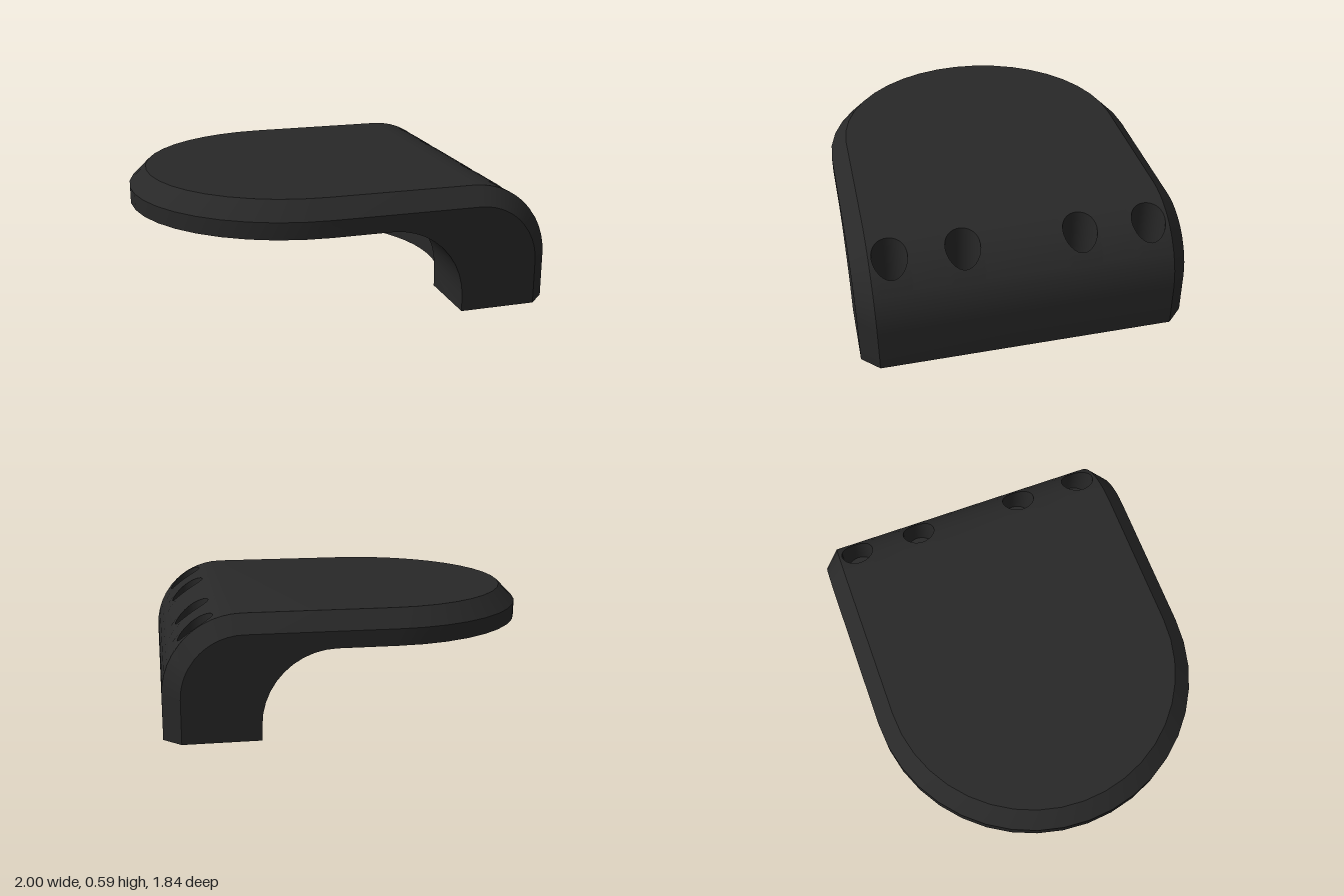
import * as THREE from 'three';
import { toCreasedNormals } from 'three/addons/utils/BufferGeometryUtils.js';

const V = (x, y, z) => new THREE.Vector3(x, y, z);
const range = (n, f) => Array.from({ length: n + 1 }, (_, i) => f(i / n));
const mirrorZ = (p) => V(p.x, p.y, -p.z);

// Local frame: +x points to the leg, z runs along it, the disc is centred on 0
const R = 0.775, BEVEL = 0.08, END = 1.052, TOP = 0.59, UNDER = 0.432, FOOT = 0.02;
const ARC = 0.364, AX = END - ARC, AY = TOP - ARC;       // rounded shoulder of the leg
const INNER = 0.613, FILLET = 0.34;                      // inside of the leg
const CAVITY = 0.755, WALL_TOP = 0.505, CEILING = 0.568; // bevelled hollow underneath
const HOLE_X = 0.8925, HOLES = [-0.601, -0.272, 0.272, 0.601];
const SINK = 0.08, BORE = 0.04, BOSS = 0.065, SHOULDER = 0.3;
const PATCH_X = 0.1105, PATCH_Z = 0.09;

// Collects triangles for one part
class Skin {
  constructor() { this.pos = []; }
  tri(a, b, c) {
    const n = b.clone().sub(a).cross(c.clone().sub(a));
    if (n.length() > 1e-9) for (const p of [a, b, c]) this.pos.push(p.x, p.y, p.z);
  }
  strip(a, b) {
    for (let i = 0; i + 1 < a.length; i++) {
      this.tri(a[i], a[i + 1], b[i + 1]);
      this.tri(a[i], b[i + 1], b[i]);
    }
  }
  loft(rows) {
    for (let i = 0; i + 1 < rows.length; i++) this.strip(rows[i], rows[i + 1]);
  }
  flat(geometry, map, flip = false) {
    const g = geometry.toNonIndexed(), p = g.attributes.position;
    for (let i = 0; i < p.count; i += 3) {
      const [a, b, c] = [0, 1, 2].map((k) => map(p.getX(i + k), p.getY(i + k)));
      flip ? this.tri(a, c, b) : this.tri(a, b, c);
    }
  }
  mesh(name, material) {
    const g = new THREE.BufferGeometry();
    g.setAttribute('position', new THREE.Float32BufferAttribute(this.pos, 3));
    const m = new THREE.Mesh(toCreasedNormals(g, 0.6), material);
    m.name = name;
    return m;
  }
}

// Angles down the shoulder arc; the middle nine line up with the hole patches
const holeAngles = range(8, (t) => {
  const x = HOLE_X + PATCH_X * Math.tan((0.5 - t) * Math.PI / 2);
  return Math.asin((x - AX) / ARC);
});
const arcAngles = [90, 82.5, 75, 67.5].map(THREE.MathUtils.degToRad)
  .concat(holeAngles, [Math.PI / 24, 0]);

// Half of an edge line: up the leg, over the shoulder, along the side, round the disc
function edgeLine(inset, z) {
  const r = ARC - inset;
  return [
    V(AX + r, FOOT, z),
    ...arcAngles.map((a) => V(AX + r * Math.sin(a), AY + r * Math.cos(a), z)),
    ...range(10, (t) => {
      const a = (1 + t) * Math.PI / 2;
      return V(z * Math.cos(a), AY + r, z * Math.sin(a));
    }),
  ];
}
const whole = (half) => [...half, ...half.slice(0, -1).reverse().map(mirrorZ)];
const ring = (r, y) => range(32, (t) => {
  const a = t * Math.PI * 2;
  return V(r * Math.cos(a), y, r * Math.sin(a));
});
const shoulderY = (x) => AY + Math.sqrt(ARC * ARC - (x - AX) ** 2);

function buildBody(material) {
  const s = new Skin();
  const side = edgeLine(BEVEL, R), top = edgeLine(0, R - BEVEL);

  // Bevel all round
  s.strip(whole(top), whole(side));

  // Top, shoulder and outer face; the band with the screw holes is filled between them
  const zs = [R - BEVEL];
  for (const h of [...HOLES].reverse()) zs.push(h + PATCH_Z, h - PATCH_Z);
  zs.push(BEVEL - R);
  top.slice(0, -1).forEach((p, k) => {
    const q = top[k + 1];
    const inHoleBand = k >= 5 && k < 13;
    if (!inHoleBand) s.strip([p, mirrorZ(p)], [q, mirrorZ(q)]);
    else for (let i = 0; i < zs.length; i += 2) {
      s.strip([V(p.x, p.y, zs[i]), V(p.x, p.y, zs[i + 1])],
        [V(q.x, q.y, zs[i]), V(q.x, q.y, zs[i + 1])]);
    }
  });

  // Curved patches from each round hole out to a rectangle
  for (const h of HOLES) {
    s.loft(range(4, (t) => ring(1, 0).map((d) => {
      const k = 1 / Math.max(Math.abs(d.x), Math.abs(d.z));
      const x = HOLE_X + THREE.MathUtils.lerp(SINK * d.x, PATCH_X * d.x * k, t);
      const z = h + THREE.MathUtils.lerp(SINK * d.z, PATCH_Z * d.z * k, t);
      return V(x, shoulderY(x), z);
    })));
  }

  // Rim of the disc
  const rim = whole(side.slice(-11));
  s.strip(rim, rim.map((p) => V(p.x, UNDER, p.z)));

  // Flat sides with the hooked outline of the leg
  const inside = range(10, (t) => {
    const a = t * Math.PI / 2;
    return V(INNER - FILLET + FILLET * Math.cos(a), UNDER - FILLET + FILLET * Math.sin(a), R);
  });
  inside.unshift(V(INNER, FOOT, R));
  const outline = [...side.slice(0, -10), V(0, UNDER, R), ...[...inside].reverse()];
  const sideShape = new THREE.ShapeGeometry(
    new THREE.Shape(outline.map((p) => new THREE.Vector2(p.x, p.y))));
  s.flat(sideShape, (x, y) => V(x, y, R));
  s.flat(sideShape, (x, y) => V(x, y, -R), true);

  // Thin underside lip, running into the inner curve of the leg
  const straight = [...inside, ...range(3, (t) => V((INNER - FILLET) * (1 - t), UNDER, R)).slice(1)];
  const round = (r) => range(10, (t) => {
    const a = (1 + t) * Math.PI / 2;
    return V(r * Math.cos(a), UNDER, r * Math.sin(a));
  }).slice(1);
  const lipOuter = whole([...straight, ...round(R)]);
  const lipInner = whole([
    ...straight.map((p) => V(p.x, p.y, Math.sqrt(CAVITY ** 2 - p.x ** 2))),
    ...round(CAVITY),
  ]);
  s.strip(lipOuter, lipInner);

  // Hollow: upright wall cut into the leg, bevel, then the ceiling
  const half = Math.acos(INNER / CAVITY);
  const legArc = range(12, (t) => {
    const a = half * (2 * t - 1);
    return V(CAVITY * Math.cos(a), FOOT, CAVITY * Math.sin(a));
  });
  const wall = [...lipInner, ...legArc.slice(1)];
  const inward = (k, y) => wall.map((p) => V(p.x * k, y, p.z * k));
  const shrink = 1 - (CEILING - WALL_TOP) / CAVITY;
  s.loft([wall, inward(1, WALL_TOP), inward(shrink, CEILING), inward(0, CEILING)]);

  // Foot of the leg
  const foot = new THREE.Shape([
    [END - BEVEL, -R], [END, BEVEL - R], [END, R - BEVEL], [END - BEVEL, R], [INNER, R],
    ...[...legArc].reverse().map((p) => [p.x, p.z]), [INNER, -R],
  ].map(([x, z]) => new THREE.Vector2(x, z)));
  for (const h of HOLES) {
    foot.holes.push(new THREE.Path().absarc(HOLE_X, h, BOSS - 0.005, 0, Math.PI * 2, true));
  }
  s.flat(new THREE.ShapeGeometry(foot, 12), (x, z) => V(x, FOOT, z));
  return s.mesh('body', material);
}

// Boss under the foot, bore and wide counterbore up to the shoulder
function buildSocket(z, material) {
  const s = new Skin();
  s.loft([
    ring(BOSS, FOOT), ring(BOSS, 0), ring(BORE, 0), ring(BORE, SHOULDER), ring(SINK, SHOULDER),
    ring(SINK, 0).map((p) => V(p.x, shoulderY(HOLE_X + p.x), p.z)),
  ]);
  const m = s.mesh('screwSocket', material);
  m.position.set(HOLE_X, 0, z);
  return m;
}

export function createModel() {
  const material = new THREE.MeshStandardMaterial({ color: 0x282828 });
  const bracket = new THREE.Group();
  bracket.name = 'bracket';
  bracket.add(buildBody(material), ...HOLES.map((z) => buildSocket(z, material)));
  bracket.rotation.y = THREE.MathUtils.degToRad(20);
  bracket.position.set(-0.226, 0, 0.142);

  const model = new THREE.Group();
  model.name = 'roundedBracket';
  model.add(bracket);
  return model;
}
